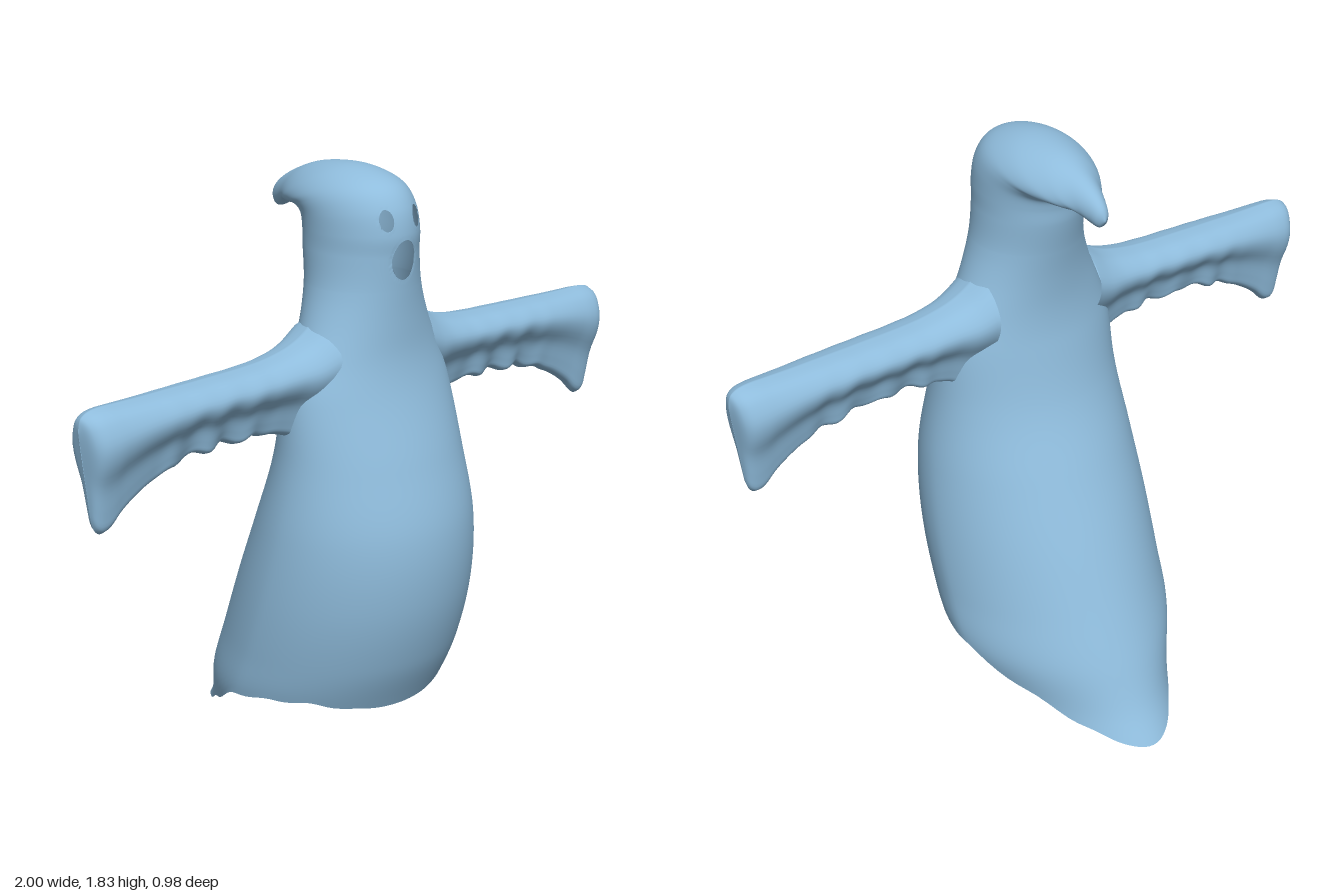
import * as THREE from 'three';

const cloth = new THREE.MeshStandardMaterial({ color: 0x8fbcdc, side: THREE.DoubleSide });
cloth.name = 'paleBlueCloth';

// Smooth lookup in a table of rows [key, ...values]
function lookup(table, key) {
  const n = table.length;
  const k = Math.min(Math.max(key, table[0][0]), table[n - 1][0]);
  let i = 0;
  while (i < n - 2 && k > table[i + 1][0]) i++;
  const a = table[i], b = table[i + 1], h = b[0] - a[0], t = (k - a[0]) / h;
  const slope = (j, c) => {
    const lo = table[Math.max(j - 1, 0)], hi = table[Math.min(j + 1, n - 1)];
    return (hi[c] - lo[c]) / (hi[0] - lo[0]);
  };
  const out = [];
  for (let c = 1; c < a.length; c++) {
    const t2 = t * t, t3 = t2 * t;
    out.push((2 * t3 - 3 * t2 + 1) * a[c] + (t3 - 2 * t2 + t) * h * slope(i, c)
      + (3 * t2 - 2 * t3) * b[c] + (t3 - t2) * h * slope(i + 1, c));
  }
  return out;
}

// Skin closed rings of points; triangles for which skip() is true are left out
function skin(name, rings, skip = () => false) {
  const n = rings[0].length, pts = rings.flat(), index = [];
  for (let j = 0; j < rings.length - 1; j++) {
    for (let i = 0; i < n; i++) {
      const a = j * n + i, b = j * n + (i + 1) % n;
      for (const tri of [[a, b, b + n], [a, b + n, a + n]]) {
        if (!skip(...tri.map((k) => pts[k]))) index.push(...tri);
      }
    }
  }
  const g = new THREE.BufferGeometry().setFromPoints(pts);
  g.setIndex(index);
  g.computeVertexNormals();
  const mesh = new THREE.Mesh(g, cloth);
  mesh.name = name;
  return mesh;
}

// Body sections: key, front z, front y, back z, back y, half width
const BODY = [
  [0, 0.24, 0, -0.49, 0, 0.27],
  [0.1, 0.285, 0.1, -0.425, 0.1, 0.295],
  [0.25, 0.36, 0.25, -0.36, 0.25, 0.358],
  [0.4, 0.43, 0.4, -0.295, 0.4, 0.365],
  [0.6, 0.48, 0.6, -0.21, 0.6, 0.36],
  [0.8, 0.483, 0.8, -0.12, 0.8, 0.34],
  [1.0, 0.43, 1.0, -0.035, 1.0, 0.307],
  [1.2, 0.362, 1.2, 0.01, 1.2, 0.282],
  [1.3, 0.34, 1.3, 0.02, 1.3, 0.245],
  [1.4, 0.335, 1.4, 0.015, 1.4, 0.2],
  [1.5, 0.336, 1.5, 0, 1.5, 0.166],
  [1.6, 0.341, 1.6, -0.02, 1.6, 0.152],
  [1.66, 0.345, 1.66, -0.025, 1.65, 0.149],
  [1.72, 0.33, 1.73, -0.035, 1.68, 0.146],
  [1.78, 0.29, 1.785, -0.06, 1.69, 0.141],
  [1.84, 0.22, 1.816, -0.09, 1.687, 0.132],
  [1.9, 0.12, 1.83, -0.115, 1.685, 0.112],
  [1.96, 0, 1.818, -0.135, 1.682, 0.08],
  [2.02, -0.1, 1.783, -0.155, 1.67, 0.05],
  [2.06, -0.17, 1.745, -0.175, 1.66, 0.032],
  [2.09, -0.205, 1.71, -0.195, 1.66, 0.018],
  [2.1, -0.211, 1.685, -0.21, 1.68, 0.001],
];
// Hem height by cosine of the angle from the front
const HEM = [[-1, 0.003], [-0.83, 0.045], [-0.61, 0.095], [-0.42, 0.15], [-0.2, 0.205],
  [0, 0.262], [0.3, 0.275], [0.55, 0.288], [0.8, 0.27], [1, 0.245]];
// Eye and mouth openings: x, y, half width, half height
const HOLES = [[-0.055, 1.703, 0.019, 0.03], [0.055, 1.703, 0.019, 0.03], [0, 1.588, 0.042, 0.057]];

function holeRadius(p, [x, y, w, h]) {
  return p.z < 0.2 ? 99 : Math.hypot((p.x - x) / w, (p.y - y) / h);
}

function makeBody() {
  const segs = 136, rings = [];
  const addRing = (keyAt) => {
    const ring = [];
    for (let i = 0; i < segs; i++) {
      const u = (i / segs) * Math.PI * 2;
      const a = u - 0.6 * Math.sin(u); // finer around the face
      const c = Math.cos(a), key = keyAt(a, c);
      const [zf, yf, zb, yb, w] = lookup(BODY, key);
      const egg = 1 + 0.22 * Math.max(0, 1 - key) * Math.min(c, 0);
      const p = new THREE.Vector3(w * Math.sin(a) * egg,
        (yf + yb) / 2 + c * (yf - yb) / 2, (zf + zb) / 2 + c * (zf - zb) / 2);
      // Pull nearby points onto the rims of the openings
      for (const hole of HOLES) {
        const r = holeRadius(p, hole);
        if (r > 0.87 && r < 1.13) {
          p.x = hole[0] + (p.x - hole[0]) / r;
          p.y = hole[1] + (p.y - hole[1]) / r;
        }
      }
      ring.push(p);
    }
    rings.push(ring);
  };
  // Skirt with a ragged, trailing hem
  for (let j = 0; j < 36; j++) {
    addRing((a, c) => {
      const ripple = 0.006 * Math.cos(15 * a) * Math.min(1, 2 * (1 - Math.abs(c)));
      const hem = Math.max(0, lookup(HEM, c)[0] + ripple);
      return hem + (1 - hem) * j / 36;
    });
  }
  // Chest, face, then the swept-back peak
  for (const [from, to, count] of [[1, 1.5, 24], [1.5, 1.8, 60], [1.8, 2.1, 40]]) {
    for (let j = 0; j < count; j++) addRing(() => from + (to - from) * j / count);
  }
  addRing(() => 2.1);
  return skin('body', rings, (a, b, c) => {
    const mid = new THREE.Vector3().add(a).add(b).add(c).divideScalar(3);
    return HOLES.some((h) => holeRadius(mid, h) < 0.99);
  });
}

// Arm sections: x, top y, bottom y, thickness scale
const ARM = [
  [0.18, 1.41, 1.03, 1.45], [0.24, 1.37, 1.06, 1.3], [0.3, 1.347, 1.098, 1.14], [0.4, 1.33, 1.118, 1.05],
  [0.6, 1.322, 1.118, 1], [0.7, 1.32, 1.1, 0.98], [0.8, 1.318, 1.062, 0.96], [0.88, 1.318, 1.012, 0.95],
  [0.93, 1.318, 0.975, 0.93], [0.965, 1.313, 0.965, 0.85], [0.985, 1.303, 0.975, 0.68],
  [0.995, 1.29, 0.995, 0.42], [1, 1.265, 1.02, 0.01],
];
// Sleeve half thickness from top (0) to bottom edge (1)
const SLEEVE = [[0, 0], [0.03, 0.034], [0.1, 0.062], [0.25, 0.084], [0.4, 0.078],
  [0.6, 0.048], [0.85, 0.03], [0.96, 0.02], [1, 0]];

function makeArm(name, side) {
  const segs = 56, rows = 110, rings = [];
  for (let j = 0; j <= rows; j++) {
    const s = j / rows, x = 0.18 + 0.82 * (1 - (1 - s) ** 1.5);
    const [top, bottom, thick] = lookup(ARM, x);
    // Ragged lower edge and soft folds along the hanging cloth
    const ragged = THREE.MathUtils.smoothstep(x, 0.32, 0.42) * (1 - THREE.MathUtils.smoothstep(x, 0.68, 0.8));
    const low = bottom + ragged * 0.007 * Math.sin(x * 62);
    const ring = [];
    for (let i = 0; i < segs; i++) {
      const t = (i / segs) * Math.PI * 2, v = (1 - Math.cos(t)) / 2;
      const half = lookup(SLEEVE, v)[0] * thick * Math.sign(Math.sin(t)) * side;
      const fold = ragged * 0.012 * Math.sin(x * 45) * v * v;
      const lean = 0.028 * v * THREE.MathUtils.smoothstep(x, 0.85, 1);
      ring.push(new THREE.Vector3(side * (x - lean), top + (low - top) * v, 0.162 + half + fold));
    }
    rings.push(ring);
  }
  return skin(name, rings);
}

export function createModel() {
  const model = new THREE.Group();
  model.name = 'ghost';
  model.add(makeBody(), makeArm('leftArm', 1), makeArm('rightArm', -1));
  return model;
}
